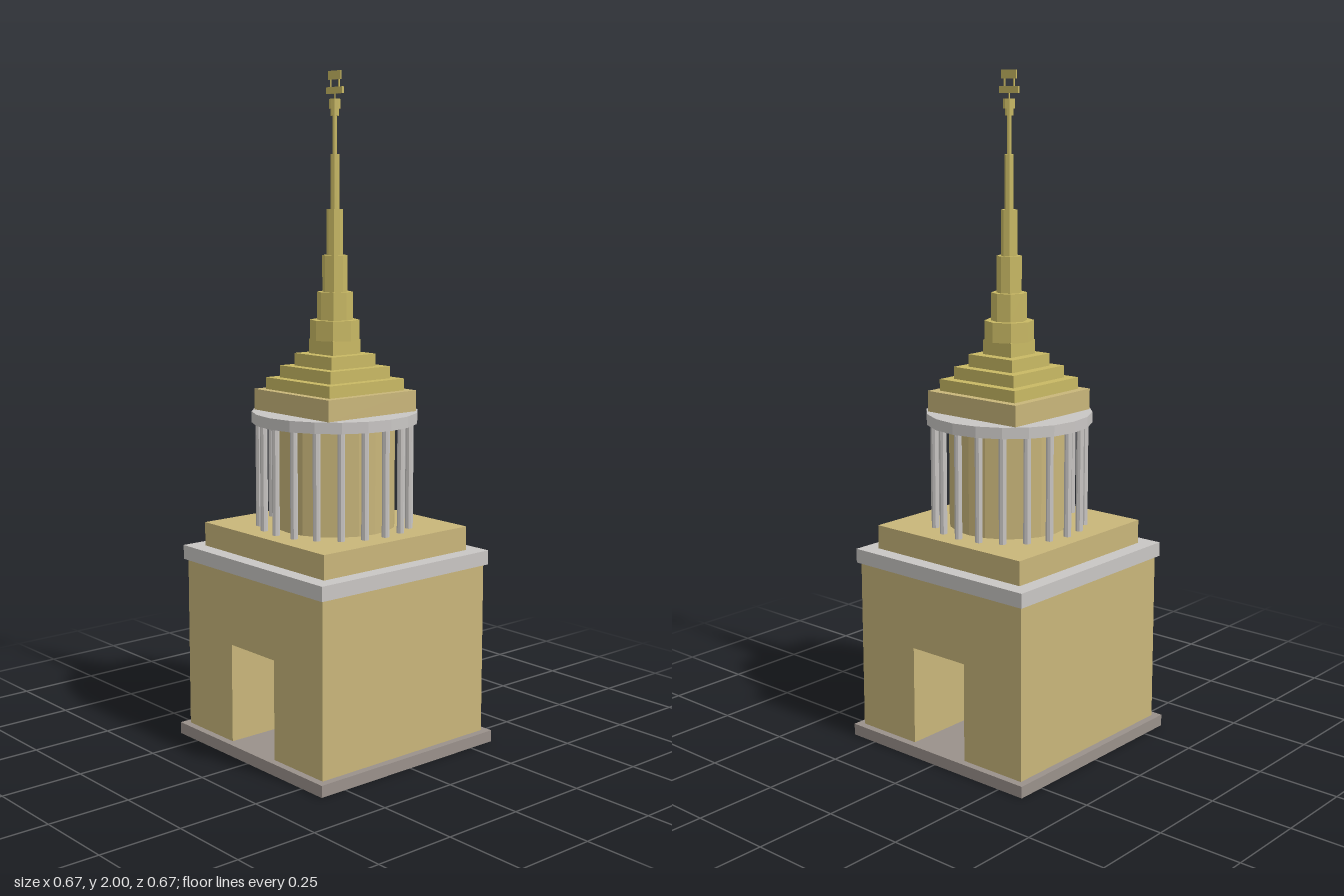
import * as THREE from 'three';

const mat = (name, color) => {
  const m = new THREE.MeshStandardMaterial({ color, flatShading: true });
  m.name = name;
  return m;
};

export function createModel() {
  const stone = mat('warm stone', 0xc9b67a);
  const trim = mat('pale trim', 0xc9c6c4);
  const plinth = mat('grey plinth', 0x9a918b);
  const gold = mat('gold', 0xc9b964);

  const model = new THREE.Group();
  model.name = 'spiredTower';

  const add = (name, geometry, material, y0, y1, x = 0, z = 0, parent = model) => {
    const mesh = new THREE.Mesh(geometry, material);
    mesh.name = name;
    mesh.position.set(x, (y0 + y1) / 2, z);
    parent.add(mesh);
    return mesh;
  };
  // Square block given by its half width and its bottom and top heights
  const block = (name, half, y0, y1, material) =>
    add(name, new THREE.BoxGeometry(half * 2, y1 - y0, half * 2), material, y0, y1);
  // Upright prism given by its radius, heights and number of sides
  const prism = (name, r, y0, y1, sides, material, x = 0, z = 0, parent = model) =>
    add(name, new THREE.CylinderGeometry(r, r, y1 - y0, sides), material, y0, y1, x, z, parent);

  // Plinth and gate block with a passage from front to back
  block('plinth', 0.337, 0, 0.035, plinth);
  const wall = new THREE.Shape([
    [-0.315, 0.035], [-0.1, 0.035], [-0.1, 0.332], [0.1, 0.332],
    [0.1, 0.035], [0.315, 0.035], [0.315, 0.552], [-0.315, 0.552],
  ].map(([x, y]) => new THREE.Vector2(x, y)));
  const gate = new THREE.ExtrudeGeometry(wall, { depth: 0.63, bevelEnabled: false });
  gate.translate(0, 0, -0.315);
  add('gateBlock', gate, stone, 0, 0);

  block('cornice', 0.325, 0.552, 0.595, trim);
  block('attic', 0.278, 0.595, 0.667, stone);

  // Round colonnade
  prism('drum', 0.18, 0.667, 0.98, 20, stone);
  const colonnade = new THREE.Group();
  colonnade.name = 'colonnade';
  model.add(colonnade);
  for (let i = 0; i < 20; i++) {
    const a = (i / 20) * Math.PI * 2;
    prism('column', 0.011, 0.667, 0.98, 8, trim, 0.225 * Math.sin(a), 0.225 * Math.cos(a), colonnade);
  }
  prism('colonnadeRoof', 0.247, 0.98, 1.013, 20, trim);

  // Stepped roof
  block('roofBase', 0.17, 1.013, 1.075, stone);
  [[0.145, 1.075, 1.11], [0.115, 1.11, 1.146], [0.085, 1.146, 1.183], [0.054, 1.183, 1.226]]
    .forEach(([half, y0, y1]) => block('roofStep', half, y0, y1, gold));

  // Octagonal spire in shrinking tiers
  [[0.073, 1.224, 1.283], [0.053, 1.283, 1.365], [0.037, 1.365, 1.472],
    [0.024, 1.472, 1.605], [0.013, 1.605, 1.763], [0.0065, 1.763, 1.875]]
    .forEach(([r, y0, y1]) => prism('spireTier', r, y0, y1, 8, gold));
  prism('finialNeck', 0.012, 1.872, 1.892, 8, gold);
  prism('finialCap', 0.017, 1.892, 1.92, 8, gold);

  // Ship-shaped weather vane
  const vane = new THREE.Group();
  vane.name = 'weatherVane';
  model.add(vane);
  const plate = (name, w, y0, y1, d, x = 0) =>
    add(name, new THREE.BoxGeometry(w, y1 - y0, d), gold, y0, y1, x, 0, vane);
  plate('vaneRod', 0.003, 1.92, 1.935, 0.003);
  plate('hull', 0.072, 1.935, 1.954, 0.007);
  plate('sail', 0.056, 1.975, 2, 0.004);
  for (const s of [-1, 1]) plate('mast', 0.004, 1.954, 1.975, 0.004, s * 0.018);

  return model;
}
